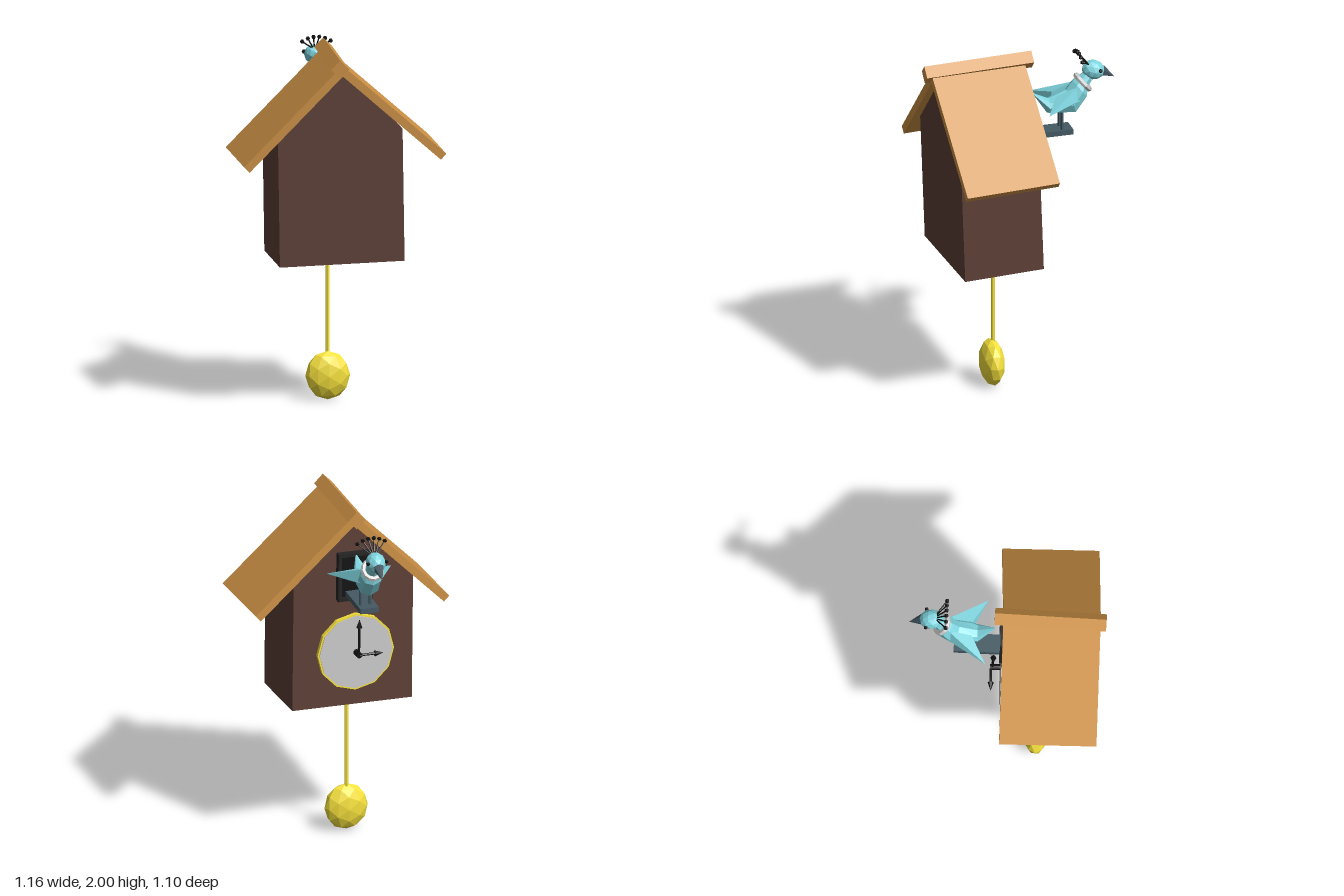
import * as THREE from 'three';
import { ConvexGeometry } from 'three/addons/geometries/ConvexGeometry.js';

const mat = (color) => new THREE.MeshStandardMaterial({ color, flatShading: true });
const WOOD = mat(0x5d4037), ROOF = mat(0xcd9145), GOLD = mat(0xf5e13c), GREY = mat(0xcccccc);
const BLACK = mat(0x111111), FRAME = mat(0x242424), SLATE = mat(0x455a64), BLUE = mat(0x7fd4de);

function add(parent, name, geometry, material, x = 0, y = 0, z = 0) {
  const m = new THREE.Mesh(geometry, material);
  m.name = name;
  m.position.set(x, y, z);
  parent.add(m);
  return m;
}

function group(parent, name, x = 0, y = 0, z = 0, rx = 0, ry = 0, rz = 0) {
  const g = new THREE.Group();
  g.name = name;
  g.position.set(x, y, z);
  g.rotation.set(rx, ry, rz);
  parent.add(g);
  return g;
}

// Cylinder or cone running between two points
function rod(parent, name, a, b, r0, r1, sides, material) {
  const p = new THREE.Vector3(...a), q = new THREE.Vector3(...b);
  const d = q.clone().sub(p);
  const m = add(parent, name, new THREE.CylinderGeometry(r1, r0, d.length(), sides), material);
  m.position.copy(p).add(q).multiplyScalar(0.5);
  m.quaternion.setFromUnitVectors(new THREE.Vector3(0, 1, 0), d.normalize());
  return m;
}

// Loft through tilted ovals: [topZ, topY, bottomZ, bottomY, halfWidth], running towards -z
function loft(sections, sides) {
  const pos = [], index = [];
  sections.forEach(([tz, ty, bz, by, w], i) => {
    for (let j = 0; j < sides; j++) {
      const a = (j / sides) * Math.PI * 2, s = Math.sin(a) / 2;
      pos.push(Math.cos(a) * w, (ty + by) / 2 + s * (ty - by), (tz + bz) / 2 + s * (tz - bz));
      if (i === 0) continue;
      const k = (j + 1) % sides, p = (i - 1) * sides, q = i * sides;
      index.push(p + j, q + j, p + k, p + k, q + j, q + k);
    }
  });
  const g = new THREE.BufferGeometry();
  g.setAttribute('position', new THREE.Float32BufferAttribute(pos, 3));
  g.setIndex(index);
  g.computeVertexNormals();
  return g;
}

function buildHouse(root) {
  // Gabled case, set slightly askew
  const house = group(root, 'house', 0, 0.82, 0.207, 0.03, 0.035, 0.02);
  const outline = new THREE.Shape([[-0.352, 0], [0.352, 0], [0.352, 0.75], [0, 1.09], [-0.352, 0.75]]
    .map(([x, y]) => new THREE.Vector2(x, y)));
  add(house, 'case', new THREE.ExtrudeGeometry(outline, { depth: 0.46, bevelEnabled: false }), WOOD, 0, 0, -0.23);

  // Roof panels meeting at the ridge
  const roof = group(root, 'roof', -0.012, 1.955, 0.245, 0.03, 0.037, 0.032);
  for (const s of [-1, 1]) {
    const panel = group(roof, s < 0 ? 'rightRoofPanel' : 'leftRoofPanel', 0, 0, 0, 0, 0, -s * 0.756);
    add(panel, 'roofBoard', new THREE.BoxGeometry(0.785, 0.045, 0.54), ROOF, s * 0.3925, -0.0225, 0);
  }
  const ridge = add(root, 'ridgeBeam', new THREE.BoxGeometry(0.072, 0.072, 0.62).rotateZ(Math.PI / 4), ROOF, -0.02, 1.94, 0.237);
  ridge.rotation.x = 0.03;
}

function buildClock(root) {
  const clock = group(root, 'clock', -0.025, 1.145, -0.02, 0.03, 0.035, 0.02);
  const disc = (r, h) => new THREE.CylinderGeometry(r, r, h, 12).rotateX(Math.PI / 2);
  add(clock, 'dialRim', disc(0.225, 0.03), GOLD, 0, 0, -0.002);
  add(clock, 'dial', disc(0.215, 0.01), GREY, 0, 0, -0.017);
  add(clock, 'axle', disc(0.017, 0.07), BLACK, 0, 0, -0.045);
  const hand = (name, length, angle, z) => {
    const g = group(clock, name, 0, 0, z, 0, 0, angle);
    rod(g, 'handShaft', [0, 0, 0], [0, length - 0.04, 0], 0.007, 0.007, 6, BLACK);
    rod(g, 'handTip', [0, length - 0.05, 0], [0, length, 0], 0.017, 0, 6, BLACK);
  };
  hand('minuteHand', 0.21, 0.01, -0.066);
  hand('hourHand', 0.14, Math.PI / 2, -0.074);

  // Pendulum
  const pendulum = group(root, 'pendulum', -0.03, 0, 0.147);
  rod(pendulum, 'pendulumRod', [0, 0.2, 0], [0, 0.9, 0], 0.011, 0.011, 6, GOLD);
  add(pendulum, 'pendulumBob', new THREE.IcosahedronGeometry(1, 1).scale(0.126, 0.1365, 0.068), GOLD, 0, 0.1375, 0.008);
}

function buildDoor(root) {
  // Doorway with a raised frame, and the perch in front
  const door = group(root, 'doorway', -0.02, 1.6, -0.01, 0.03, 0.035, 0.02);
  const rect = (path, w, h) => path.moveTo(-w, -h).lineTo(w, -h).lineTo(w, h).lineTo(-w, h).closePath();
  const shape = rect(new THREE.Shape(), 0.1, 0.14);
  shape.holes.push(rect(new THREE.Path(), 0.08, 0.12));
  add(door, 'doorFrame', new THREE.ExtrudeGeometry(shape, { depth: 0.04, bevelEnabled: false }), FRAME, 0, 0, -0.035);
  add(door, 'darkOpening', new THREE.BoxGeometry(0.16, 0.24, 0.02), BLACK, 0, 0, -0.005);
  add(root, 'perch', new THREE.BoxGeometry(0.108, 0.03, 0.3), SLATE, -0.022, 1.5, -0.15);
}

function buildBird(root) {
  const bird = group(root, 'bird', -0.016, 0, 0);
  const body = [
    [-0.075, 1.745, -0.08, 1.735, 0.006],
    [-0.17, 1.7, -0.16, 1.615, 0.05],
    [-0.27, 1.74, -0.32, 1.6, 0.072],
    [-0.31, 1.79, -0.39, 1.69, 0.064],
    [-0.34, 1.81, -0.395, 1.74, 0.045],
    [-0.38, 1.84, -0.42, 1.78, 0.032],
  ];
  add(bird, 'body', loft(body, 8), BLUE);
  const collar = add(bird, 'collar', new THREE.TorusGeometry(0.052, 0.016, 6, 12), GREY, 0, 1.774, -0.367);
  collar.rotation.x = 0.72;

  // Wings, legs and eyes in mirrored pairs
  for (const s of [-1, 1]) {
    const side = s < 0 ? 'right' : 'left';
    const wing = [[0.035, 1.77, -0.335], [0.055, 1.69, -0.345], [0.04, 1.72, -0.2],
      [0.045, 1.64, -0.19], [0.088, 1.68, -0.28], [0.188, 1.675, -0.118]]
      .map(([x, y, z]) => new THREE.Vector3(s * x, y, z));
    add(bird, side + 'Wing', new ConvexGeometry(wing), BLUE);
    rod(bird, side + 'Leg', [s * 0.028, 1.51, -0.24], [s * 0.028, 1.64, -0.24], 0.009, 0.009, 6, SLATE);
    add(bird, side + 'Eye', new THREE.IcosahedronGeometry(0.012, 0), BLACK, s * 0.054, 1.852, -0.455);
  }

  // Head and beak
  const head = add(bird, 'head', new THREE.IcosahedronGeometry(1, 1).scale(0.056, 0.056, 0.066), BLUE, 0, 1.842, -0.428);
  head.rotation.x = -0.3;
  rod(bird, 'beak', [0, 1.832, -0.475], [0, 1.785, -0.55], 0.032, 0, 6, SLATE);

  // Fan of crest feathers
  for (let i = 0; i < 6; i++) {
    const t = i / 2.5 - 1;
    const tip = [t * 0.08, 1.955 - 0.025 * t * t, -0.342];
    rod(bird, 'crestStem', [t * 0.02, 1.885, -0.395], tip, 0.004, 0.004, 5, BLACK);
    add(bird, 'crestTip', new THREE.IcosahedronGeometry(0.013, 0), BLACK, ...tip);
  }
}

export function createModel() {
  const root = new THREE.Group();
  root.name = 'cuckooClock';
  buildHouse(root);
  buildClock(root);
  buildDoor(root);
  buildBird(root);
  return root;
}
